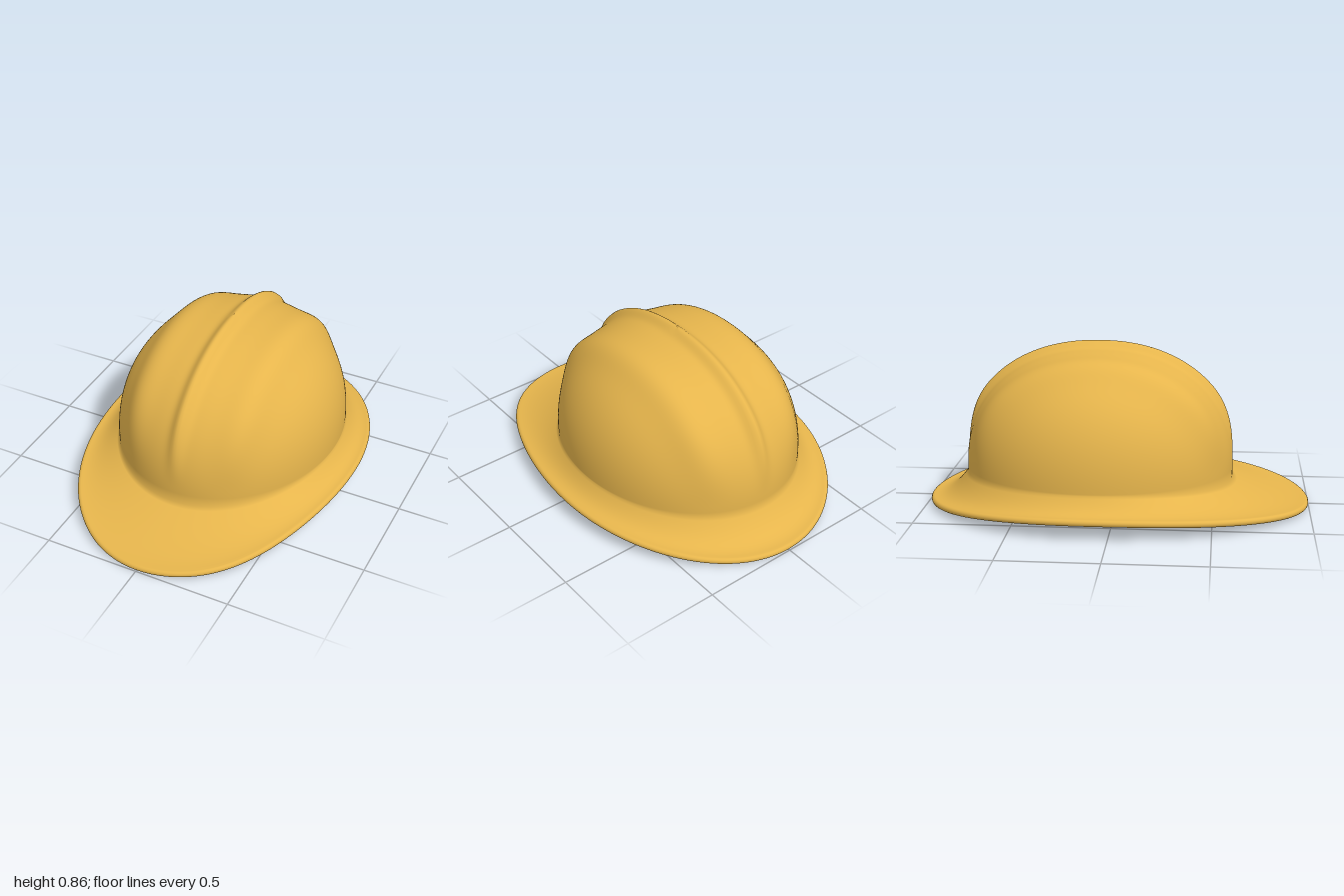
import * as THREE from 'three';
import { toCreasedNormals } from 'three/addons/utils/BufferGeometryUtils.js';

const RX = 0.59, RZ = 0.7, ZC = -0.1; // dome half width, half length, centre
const BASE = 0.2, RISE = 0.622, POWER = 2.2;
const BEAD = 0.017; // radius of the rolled brim edge
const BEAD_ROWS = 14, BRIM_ROWS = 16, DOME_ROWS = 60;
const { smoothstep, lerp } = THREE.MathUtils;

// Surface closed around y; fn(angle, row) gives a point
function ringSurface(segments, rows, fn) {
  const pos = [], index = [];
  for (let j = 0; j <= rows; j++) {
    for (let i = 0; i < segments; i++) pos.push(...fn((i / segments) * Math.PI * 2, j));
  }
  for (let j = 0; j < rows; j++) {
    for (let i = 0; i < segments; i++) {
      const n = (i + 1) % segments;
      const a = j * segments + i, b = j * segments + n;
      const c = a + segments, d = b + segments;
      index.push(a, c, b, b, c, d);
    }
  }
  const geo = new THREE.BufferGeometry();
  geo.setAttribute('position', new THREE.Float32BufferAttribute(pos, 3));
  geo.setIndex(index);
  geo.computeVertexNormals();
  return geo;
}

// Height of the bend between dome and brim
function bendY(a) {
  const c = Math.cos(a) ** 2;
  return 0.192 * c + (Math.sin(a) > 0 ? 0.14 : 0.17) * (1 - c);
}

// Rolled edge: egg-shaped path dipping at front and back, t is the roll angle
function beadPoint(a, t) {
  const s = Math.sin(a), c = Math.cos(a);
  const taper = s > 0 ? 1 - 0.02 * s * Math.sin(4 * a) : 1;
  const fullness = s > 0 ? 0.02 * Math.sin(2 * a) ** 2 : 0;
  const out = BEAD * Math.cos(t);
  return [
    (0.701 * taper + out) * c,
    0.018 + 0.075 * c * c + BEAD * Math.sin(t),
    ZC + s * ((s > 0 ? 1.083 : 0.883) + out) + fullness,
  ];
}

// Brim sweeping in from the rolled edge to the bend, flatter at the front
function brimPoint(a, v) {
  const [ex, ey, ez] = beadPoint(a, Math.PI / 2);
  const bx = RX * Math.cos(a), bz = ZC + RZ * Math.sin(a);
  const curve = 2.2 - 0.6 * Math.max(0, Math.sin(a));
  return [lerp(ex, bx, v), lerp(ey, bendY(a), v ** curve), lerp(ez, bz, v)];
}

// Dome with two broad side ribs and a narrow crest
function domePoint(a, v) {
  const t = (v * Math.PI) / 2;
  const r = Math.max(0, Math.cos(t)) ** (2 / POWER);
  const h = Math.sin(t) ** (2 / POWER);
  const x = RX * r * Math.cos(a), z = RZ * r * Math.sin(a), y = RISE * h;
  const n = new THREE.Vector3(x / RX ** 2, y / RISE ** 2, z / RZ ** 2).normalize();
  const ax = Math.abs(x);
  const rib = 0.028 * Math.exp(-(((ax - 0.28) / 0.085) ** 2));
  const crest = 0.036 * Math.exp(-((x / 0.036) ** 2));
  const lift = (rib + crest) * smoothstep(h, 0.05, 0.65);
  return [x + n.x * lift, BASE + y + n.y * lift, ZC + z + n.z * lift];
}

function shellPoint(a, row) {
  if (row < BEAD_ROWS) return beadPoint(a, lerp(-1.25, 0.5, row / BEAD_ROWS) * Math.PI);
  row -= BEAD_ROWS;
  if (row <= BRIM_ROWS) return brimPoint(a, row / BRIM_ROWS);
  return domePoint(a, (row - BRIM_ROWS - 1) / DOME_ROWS);
}

export function createModel() {
  const model = new THREE.Group();
  model.name = 'hardHat';
  const material = (name, color, side = THREE.FrontSide) => {
    const m = new THREE.MeshStandardMaterial({ color, side });
    m.name = name;
    return m;
  };
  const yellow = material('shell yellow', 0xe6b54c, THREE.DoubleSide);
  const dark = material('dark grey plastic', 0x4a4a52);
  const grey = material('grey webbing', 0xd0cdc8);
  const add = (name, geo, mat) => {
    const mesh = new THREE.Mesh(geo, mat);
    mesh.name = name;
    model.add(mesh);
    return mesh;
  };

  // Dome, brim and rolled edge in one smooth shell
  add('shell', ringSurface(240, BEAD_ROWS + BRIM_ROWS + 1 + DOME_ROWS, shellPoint), yellow);

  // Oval headband
  const oval = new THREE.Shape().absellipse(0, 0, 0.448, 0.53, 0, Math.PI * 2);
  oval.holes.push(new THREE.Path().absellipse(0, 0, 0.44, 0.522, 0, Math.PI * 2, true));
  const bandGeo = new THREE.ExtrudeGeometry(oval, { depth: 0.125, bevelEnabled: false, curveSegments: 64 });
  bandGeo.rotateX(-Math.PI / 2);
  add('headband', toCreasedNormals(bandGeo, 0.6), dark).position.set(0, 0.17, ZC);

  // Six clips on the shell wall, each with a strap rising to the crown
  const clipGeo = new THREE.BoxGeometry(0.05, 0.13, 0.11);
  for (const degrees of [55, 125, 190, 230, 310, 350]) {
    const a = THREE.MathUtils.degToRad(degrees);
    const px = RX * Math.cos(a), pz = RZ * Math.sin(a);

    const clip = add('strapClip', clipGeo, dark);
    clip.position.set(px * 0.93, 0.255, ZC + pz * 0.93);
    clip.rotation.y = -Math.atan2(pz / RZ ** 2, px / RX ** 2);

    const reach = Math.hypot(px, pz) * 0.92;
    const arch = [0, 0.25, 0.5, 0.75, 1].map(
      (u) => new THREE.Vector3(u * reach, 0.27 + 0.33 * (1 - u * u), 0));
    const strapGeo = new THREE.TubeGeometry(new THREE.CatmullRomCurve3(arch), 20, 0.016, 12);
    strapGeo.scale(1, 1, 2.4); // flattened webbing
    const strap = add('crownStrap', strapGeo, grey);
    strap.position.z = ZC;
    strap.rotation.y = -Math.atan2(pz, px);
  }
  return model;
}
